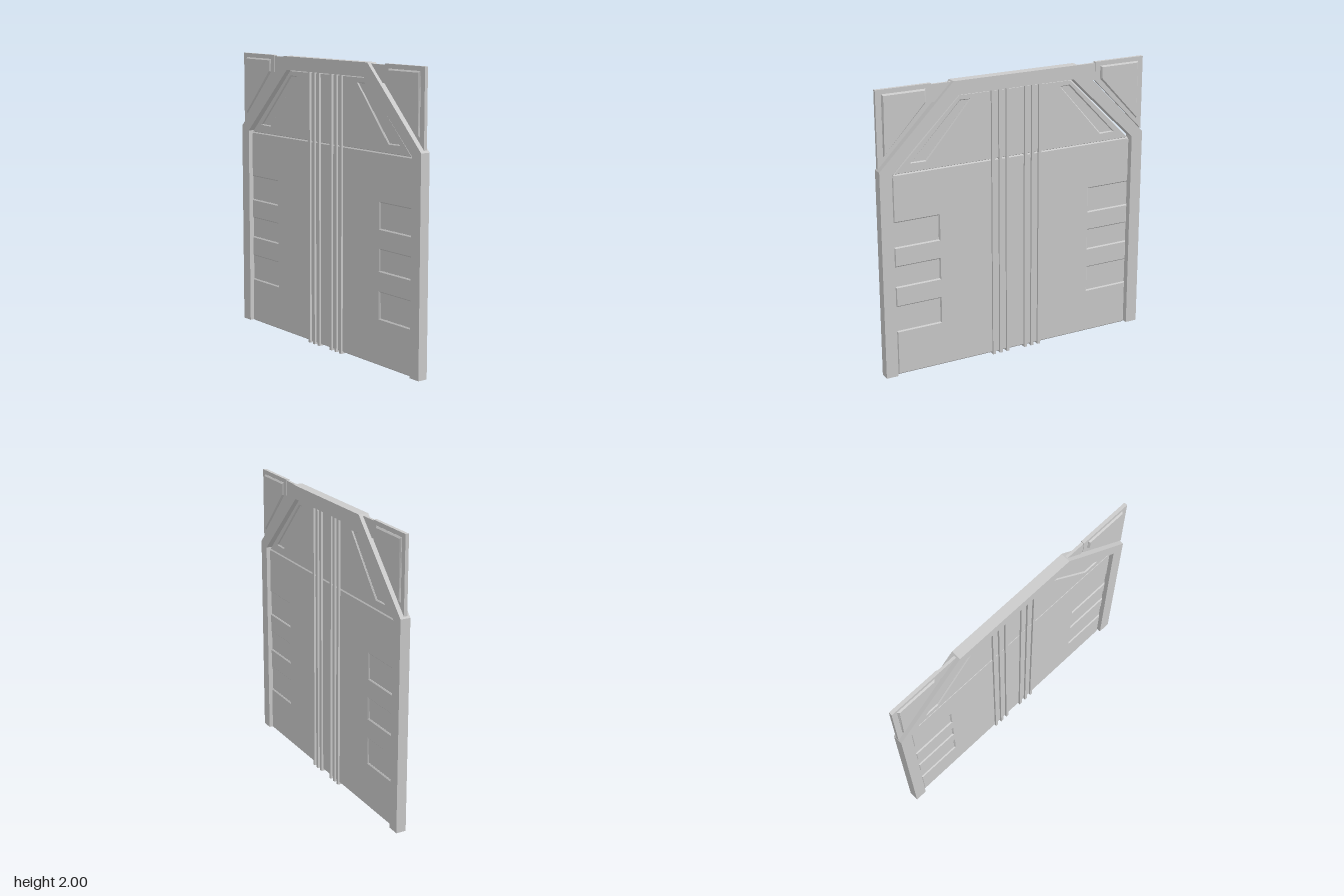
import * as THREE from 'three';

const material = new THREE.MeshStandardMaterial({ color: 0xcccccc, flatShading: true });

// Mirror a list of [x, y] points across x = 0.
const mirror = (pts, side) => pts.map(([x, y]) => [x * side, y]);
// Close a half outline (listed from bottom right to top) into a symmetric outline.
const symmetric = (half) => [...half, ...mirror(half, -1).reverse()];
const vectors = (pts) => pts.map(([x, y]) => new THREE.Vector2(x, y));

// Plate centred on z = 0, reaching +-halfDepth, with optional bevelled edges on both faces.
function plate(name, outline, halfDepth, bevel = 0, holes = []) {
  const shape = new THREE.Shape(vectors(outline));
  holes.forEach((h) => shape.holes.push(new THREE.Path(vectors(h))));
  const core = halfDepth - bevel;
  const geometry = new THREE.ExtrudeGeometry(shape, {
    depth: 2 * core,
    bevelEnabled: bevel > 0,
    bevelThickness: bevel,
    bevelSize: bevel,
    bevelOffset: -bevel,
    bevelSegments: 1,
  });
  geometry.translate(0, 0, -core);
  const mesh = new THREE.Mesh(geometry, material);
  mesh.name = name;
  return mesh;
}

export function createModel() {
  const gate = new THREE.Group();
  gate.name = 'gate';

  // Outer frame: two posts, sloping shoulders and a lintel
  const outer = [[1, 0.01], [1, 1.467], [0.465, 2]];
  const inner = [[0.914, 0.01], [0.914, 1.438], [0.43, 1.905]];
  gate.add(plate('frame', [...symmetric(outer), ...symmetric(inner).reverse()], 0.035));

  // Thin door core, which forms the floor of every recess
  gate.add(plate('doorCore',
    symmetric([[0.903, 0.012], [0.903, 1.412], [0.885, 1.44], [0.428, 1.89], [0.428, 1.905]]), 0.006));

  // Lower door skin with three recesses opening to each side
  const lower = [[0.905, 0.01]];
  for (const [bottom, top] of [[0.33, 0.505], [0.65, 0.79], [0.93, 1.1]]) {
    lower.push([0.905, bottom], [0.58, bottom], [0.58, top], [0.905, top]);
  }
  lower.push([0.905, 1.41], [0.895, 1.43]);
  gate.add(plate('lowerDoor', symmetric(lower), 0.015, 0.008));

  // Upper door skin with a slanted recess on each side
  const slot = [[0.345, 1.86], [0.41, 1.86], [0.765, 1.495], [0.665, 1.495]];
  gate.add(plate('upperDoor', symmetric([[0.895, 1.43], [0.418, 1.905]]), 0.015, 0.008,
    [slot, mirror(slot, -1)]));

  // Vertical ribs passing through the door
  for (const side of [-1, 1]) {
    for (const x of [0.07, 0.124, 0.178]) {
      const rib = new THREE.Mesh(new THREE.BoxGeometry(0.021, 1.905, 0.058), material);
      rib.position.set(side * x, 0.9525, 0);
      rib.name = 'rib';
      gate.add(rib);
    }
  }

  // Corner panels with raised plates and links to the frame
  const panel = [[1, 1.482], [1, 2], [0.615, 2], [0.615, 1.872]];
  const raised = [[0.96, 1.56], [0.96, 1.97], [0.655, 1.97], [0.655, 1.88]];
  const link = [[0.62, 1.875], [0.62, 1.992], [0.47, 1.992], [0.58, 1.875]];
  for (const side of [-1, 1]) {
    const corner = new THREE.Group();
    corner.name = side > 0 ? 'leftCorner' : 'rightCorner';
    corner.add(
      plate('cornerPanel', mirror(panel, side), 0.012),
      plate('raisedPlate', mirror(raised, side), 0.024, 0.01),
      plate('cornerLink', mirror(link, side), 0.009),
    );
    gate.add(corner);
  }
  return gate;
}
